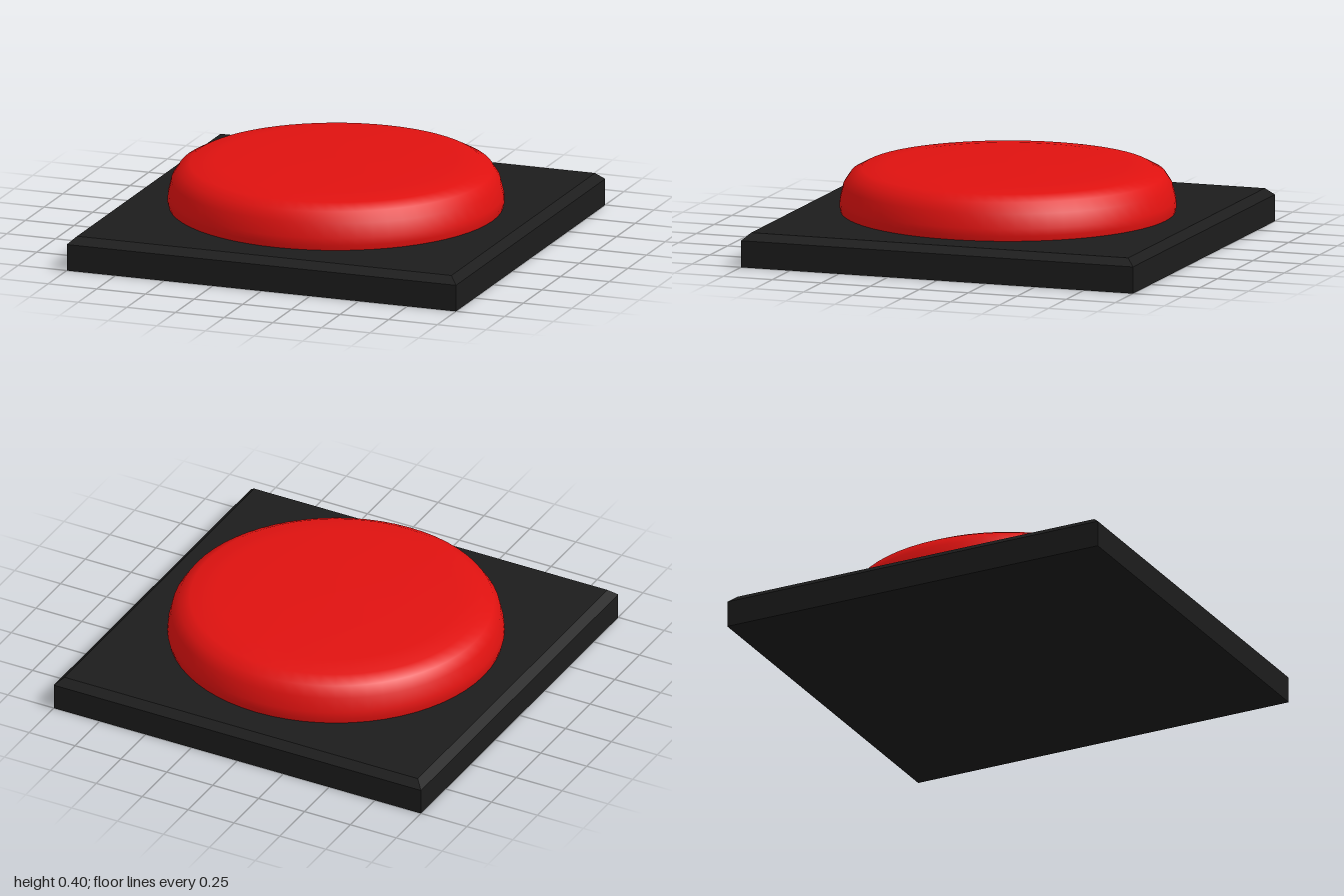
import * as THREE from 'three';

// Spins a [radius, height] profile around the y axis
function lathe(name, profile, sides, start, material) {
  const points = profile.map(([r, y]) => new THREE.Vector2(r, y));
  const mesh = new THREE.Mesh(new THREE.LatheGeometry(points, sides, start), material);
  mesh.name = name;
  return mesh;
}

export function createModel() {
  const group = new THREE.Group();
  group.name = 'pushButton';

  // Square base plate with a chamfered top edge: a four-sided lathe
  const corner = Math.SQRT2;
  const base = lathe(
    'basePlate',
    [[0, 0], [corner, 0], [corner, 0.13], [0.962 * corner, 0.165], [0, 0.165]],
    4, Math.PI / 4,
    new THREE.MeshStandardMaterial({ color: 0x1c1c1c, flatShading: true })
  );

  // Round cap with a soft shoulder and a slightly domed top
  const cap = lathe(
    'buttonCap',
    [[0.8, 0.15], [0.81, 0.19], [0.807, 0.225], [0.79, 0.295], [0.757, 0.345],
      [0.7, 0.375], [0.58, 0.388], [0.3, 0.396], [0, 0.4]],
    64, 0,
    new THREE.MeshStandardMaterial({ color: 0xe01210 })
  );

  group.add(base, cap);
  return group;
}
